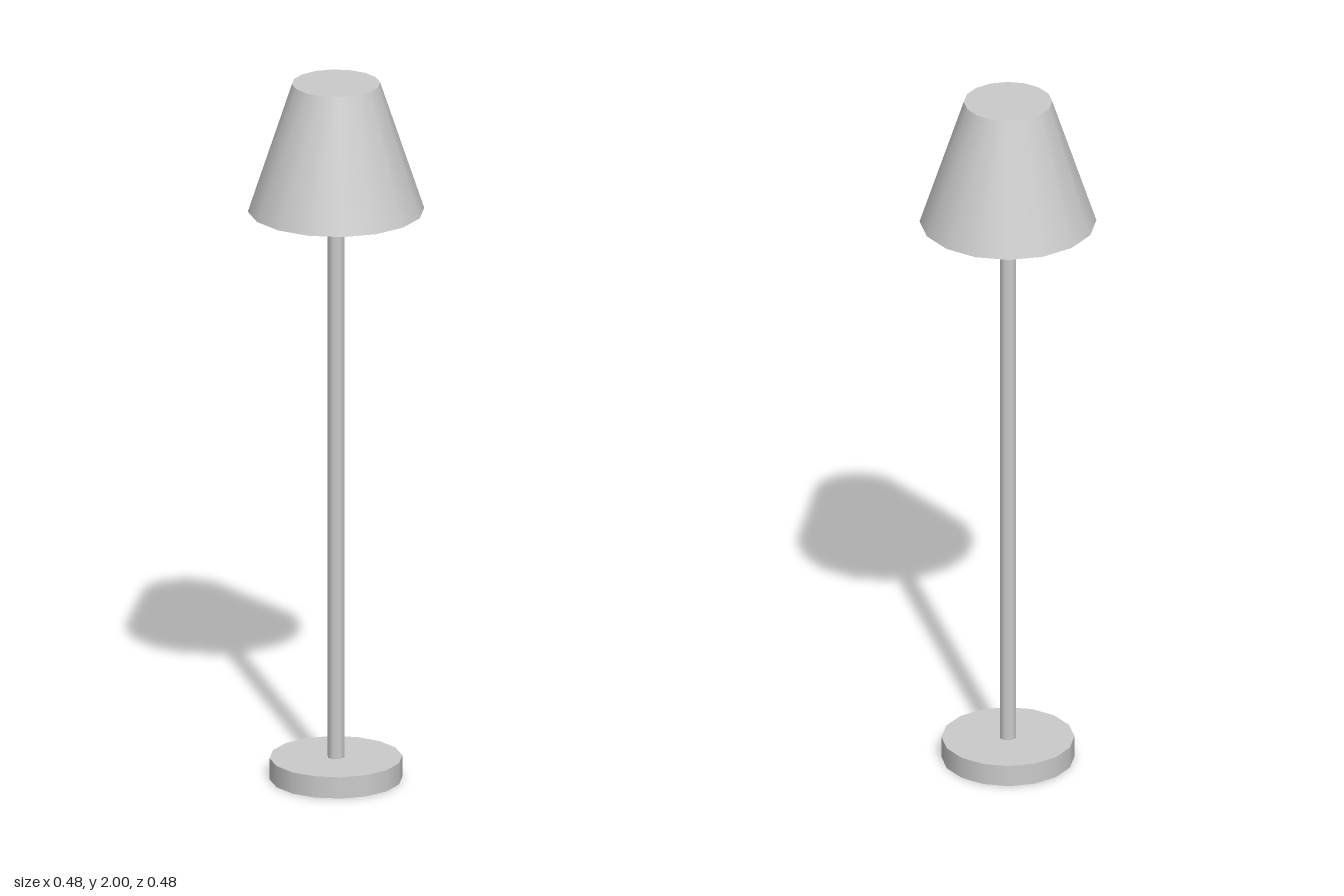
import * as THREE from 'three';

export function createModel() {
  const lamp = new THREE.Group();
  lamp.name = 'floorLamp';
  const material = new THREE.MeshStandardMaterial({ color: 0xcccccc });

  // Capped round part standing between two heights
  const addRound = (name, topRadius, bottomRadius, y0, y1, sides) => {
    const geometry = new THREE.CylinderGeometry(topRadius, bottomRadius, y1 - y0, sides);
    const mesh = new THREE.Mesh(geometry, material);
    mesh.name = name;
    mesh.position.y = (y0 + y1) / 2;
    lamp.add(mesh);
  };

  addRound('base', 0.182, 0.182, 0, 0.061, 16);
  addRound('pole', 0.024, 0.024, 0.061, 1.636, 8);
  addRound('shade', 0.121, 0.242, 1.636, 2, 16);

  return lamp;
}
